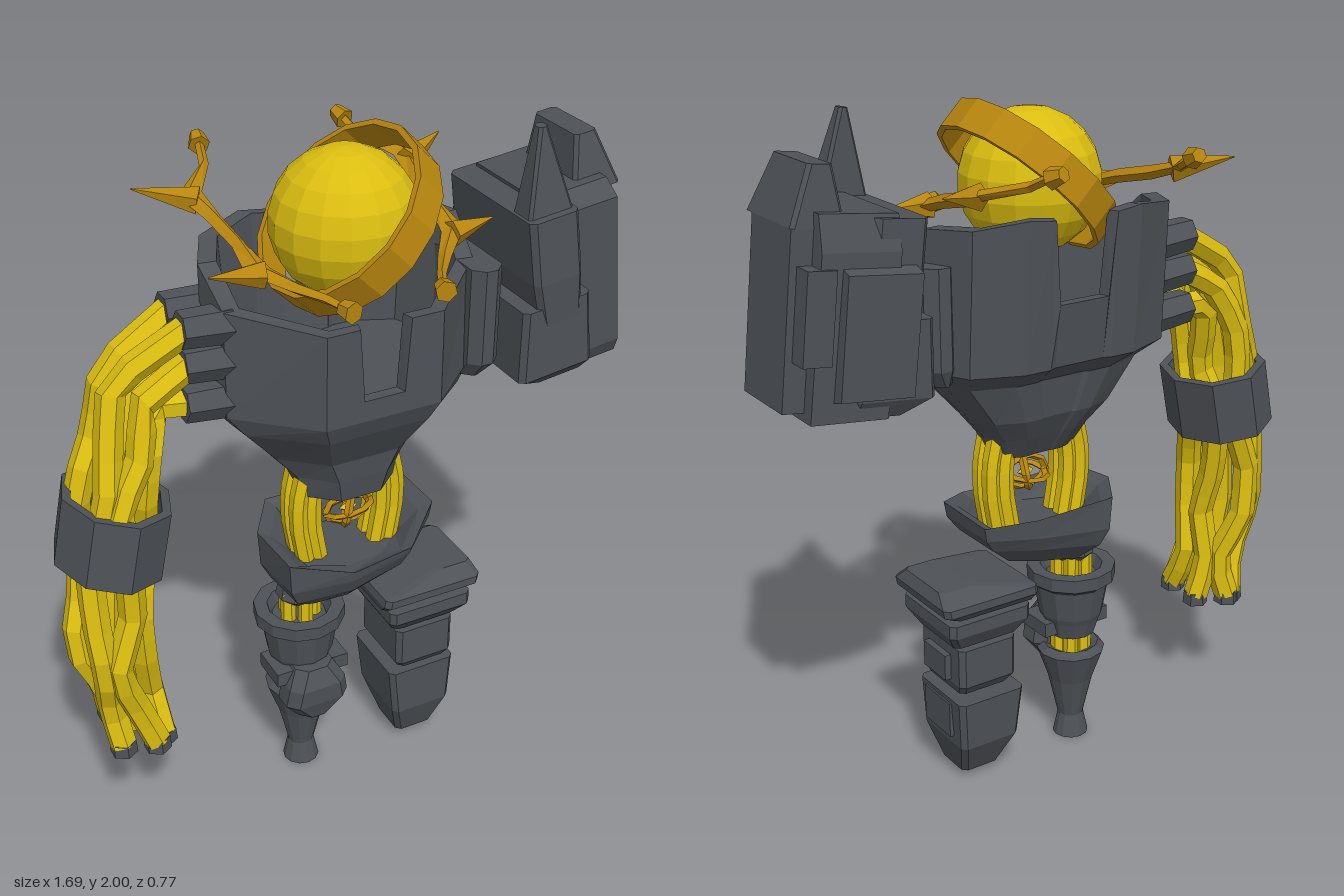
import * as THREE from 'three';

const V = (a) => new THREE.Vector3(...a);
const mat = (name, color) => {
  const m = new THREE.MeshStandardMaterial({ color, flatShading: true, side: THREE.DoubleSide });
  m.name = name;
  return m;
};

export function createModel() {
  const model = new THREE.Group();
  const iron = mat('dark iron', 0x4e5257);
  const yellow = mat('bright yellow', 0xdbbd10);
  const gold = mat('dark gold', 0xb8860e);

  const add = (name, geo, m, parent = model) => {
    const mesh = new THREE.Mesh(geo, m);
    mesh.name = name;
    parent.add(mesh);
    return mesh;
  };
  const group = (name, parent = model) => {
    const g = new THREE.Group();
    g.name = name;
    parent.add(g);
    return g;
  };

  // Skin over equal-length rings of points, capped at both ends
  const loft = (rings) => {
    const n = rings[0].length, idx = [], pos = rings.flat(2);
    for (let j = 0; j < rings.length - 1; j++) {
      for (let i = 0; i < n; i++) {
        const a = j * n + i, b = j * n + (i + 1) % n;
        idx.push(a, b, b + n, a, b + n, a + n);
      }
    }
    [0, rings.length - 1].forEach((j, top) => {
      const c = pos.length / 3;
      for (let k = 0; k < 3; k++) pos.push(rings[j].reduce((s, p) => s + p[k], 0) / n);
      for (let i = 0; i < n; i++) {
        const a = j * n + i, b = j * n + (i + 1) % n;
        idx.push(c, top ? a : b, top ? b : a);
      }
    });
    const g = new THREE.BufferGeometry();
    g.setAttribute('position', new THREE.Float32BufferAttribute(pos, 3));
    g.setIndex(idx);
    g.computeVertexNormals();
    return g;
  };

  // Chamfered block from levels [y, x0, x1, z0, z1]
  const block = (levels, c = 0.015) => loft(levels.map(([y, x0, x1, z0, z1]) => [
    [x0 + c, y, z1], [x1 - c, y, z1], [x1, y, z1 - c], [x1, y, z0 + c],
    [x1 - c, y, z0], [x0 + c, y, z0], [x0, y, z0 + c], [x0, y, z1 - c]]));

  // Straight rod between two points
  const beam = (a, b, r0, r1, sides = 6) => {
    const d = V(b).sub(V(a));
    const g = new THREE.CylinderGeometry(r1, r0, d.length(), sides);
    g.applyQuaternion(new THREE.Quaternion().setFromUnitVectors(V([0, 1, 0]), d.clone().normalize()));
    const m = V(a).addScaledVector(d, 0.5);
    return g.translate(m.x, m.y, m.z);
  };
  const tube = (pts, r, seg = 8, sides = 6) =>
    new THREE.TubeGeometry(new THREE.CatmullRomCurve3(pts.map(V), false, 'catmullrom', 0.15), seg, r, sides);
  const lathe = (pts, n = 12) => new THREE.LatheGeometry(pts.map((p) => new THREE.Vector2(...p)), n);
  // Plate with a z-y outline, spanning x0 to x1
  const plate = (pts, x0, x1) => new THREE.ExtrudeGeometry(
    new THREE.Shape(pts.map((p) => new THREE.Vector2(...p))), { depth: x1 - x0, bevelEnabled: false })
    .rotateY(-Math.PI / 2).translate(x1, 0, 0);

  // Head and the slanted band around it
  add('head', new THREE.SphereGeometry(0.2, 16, 11), yellow).position.set(0.003, 1.77, 0.07);
  const band = add('headBand', lathe([[0.262, -0.047], [0.28, -0.047], [0.28, 0.047], [0.262, 0.047], [0.262, -0.047]], 16), gold);
  band.position.set(0.005, 1.782, 0.08);
  band.rotation.z = Math.PI / 4;
  band.scale.x = 0.935;

  // Horned halo arms beside the head: x, y, z, half width, half height
  const armPath = [
    [0.215, 1.88, -0.36, 0.012, 0.012], [0.235, 1.84, -0.28, 0.014, 0.014], [0.32, 1.81, -0.18, 0.035, 0.015],
    [0.30, 1.78, -0.08, 0.022, 0.02], [0.285, 1.75, 0.05, 0.02, 0.02], [0.28, 1.72, 0.15, 0.035, 0.018],
    [0.21, 1.69, 0.23, 0.022, 0.015], [0.16, 1.68, 0.30, 0.014, 0.013], [0.135, 1.67, 0.35, 0.012, 0.012]];
  for (const s of [1, -1]) {
    const horn = group(s > 0 ? 'leftHaloArm' : 'rightHaloArm');
    add('haloArc', loft(armPath.map(([x, y, z, w, h]) =>
      [[x + w, y, z], [x, y + h, z], [x - w, y, z], [x, y - h, z]])), gold, horn);
    add('rearSpike', beam([0.31, 1.80, -0.15], [0.46, 1.83, -0.235], 0.038, 0.002, 5), gold, horn);
    add('frontSpike', beam([0.27, 1.715, 0.16], [0.41, 1.725, 0.14], 0.038, 0.002, 5), gold, horn);
    add('rearKnob', beam([0.22, 1.87, -0.345], [0.21, 1.885, -0.385], 0.03, 0.02), gold, horn);
    add('frontKnob', beam([0.14, 1.67, 0.335], [0.13, 1.67, 0.375], 0.022, 0.03), gold, horn);
    horn.scale.x = s;
  }

  // Hollow torso: x, z and rim height from front notch to back notch
  const half = [[0.06, 0.31, 1.37], [0.075, 0.31, 1.58], [0.17, 0.31, 1.58], [0.37, 0.12, 1.61],
    [0.385, 0, 1.70], [0.32, -0.14, 1.71], [0.18, -0.2, 1.73], [0.1, -0.2, 1.72], [0.08, -0.19, 1.49]];
  const outline = [...half, ...half.map(([x, z, y]) => [-x, z, y]).reverse()];
  const slice = (sx, y, sz = sx, zc = 0.055) =>
    outline.map(([x, z, rim]) => [x * sx, y ?? rim, zc + (z - 0.055) * sz]);
  add('torso', loft([slice(0.36, 0.99, 0.33, 0.1), slice(0.44, 1.06, 0.44, 0.085), slice(0.6, 1.13, 0.54, 0.07),
    slice(0.87, 1.25, 0.73, 0.095), slice(1, 1.31, 0.94, 0.068), slice(0.99), slice(0.86), slice(0.8, 1.35)]), iron);
  add('leftShoulderMount', block([[1.28, 0.32, 0.39, -0.06, 0.18], [1.33, 0.32, 0.415, -0.08, 0.22], [1.61, 0.32, 0.415, -0.08, 0.22]], 0.03), iron);

  // Waist cables and the small floating core
  for (const s of [1, -1]) {
    for (const [dx, dz] of [[-0.02, 0.045], [0.02, 0.05], [0.02, 0.1], [-0.02, 0.1]]) {
      const x = s * 0.132 + dx;
      add('waistCable', tube([[x - s * 0.02, 1.06, dz], [x, 0.97, dz], [x, 0.88, dz], [x - s * 0.02, 0.76, dz]], 0.028), yellow);
    }
  }
  const core = group('waistCore');
  core.position.set(0.003, 0.905, 0.1);
  for (const [rx, ry] of [[0, 0], [1.3, 0.2], [0.3, 1.1]]) {
    const ring = add('coreRing', new THREE.TorusGeometry(0.06, 0.011, 4, 10), gold, core);
    ring.rotation.set(rx, ry, 0);
  }
  core.scale.set(1.15, 0.78, 1);
  add('coreGem', new THREE.OctahedronGeometry(0.025), yellow, core);

  // Pelvis bowl
  const rim = [[-0.25, 0.85, 0.03], [-0.235, 0.84, 0.21], [-0.06, 0.80, 0.265], [0.13, 0.815, 0.25],
    [0.265, 0.86, 0.13], [0.265, 0.855, -0.09], [0.1, 0.85, -0.115], [-0.16, 0.855, -0.11]];
  const bowl = (s, y, slope) => rim.map(([x, h, z]) =>
    [-0.01 + (x + 0.01) * s, y === null ? h - (s < 1 ? 0.02 : 0) : y + slope * x, 0.07 + (z - 0.07) * s]);
  add('pelvis', loft([bowl(0.55, 0.665, 0.12), bowl(0.85, 0.725, 0.16), bowl(0.97, 0.775, 0.14), bowl(1, null), bowl(0.85, null), bowl(0.6, 0.77, 0)]), iron);

  // Right leg
  const leg = group('rightLeg');
  leg.position.set(-0.137, 0, 0.062);
  add('hipCup', lathe([[0, 0.67], [0.06, 0.67], [0.07, 0.63], [0.05, 0.61], [0, 0.61]], 10), iron, leg);
  for (let i = 0; i < 5; i++) {
    const a = i * Math.PI * 0.4, x = Math.sin(a) * 0.04, z = Math.cos(a) * 0.04;
    add('legCable', beam([x, 0.25, z], [x * 1.1, 0.65, z * 1.1], 0.024, 0.022), yellow, leg);
  }
  add('thigh', lathe([[0, 0.36], [0.075, 0.36], [0.09, 0.41], [0.098, 0.43], [0.115, 0.53], [0.135, 0.545],
    [0.135, 0.585], [0.095, 0.585], [0.08, 0.55], [0, 0.55]]), iron, leg);
  add('shin', lathe([[0, 0], [0.055, 0], [0.04, 0.07], [0.07, 0.2], [0.105, 0.3], [0.085, 0.32], [0, 0.27]]), iron, leg);
  add('kneeCap', block([[0.245, -0.05, 0.05, 0.03, 0.125], [0.31, -0.1, 0.1, 0.03, 0.145],
    [0.37, -0.09, 0.09, 0.03, 0.15], [0.425, -0.06, 0.06, 0.03, 0.125]], 0.03), iron, leg);
  add('kneeBar', new THREE.BoxGeometry(0.23, 0.045, 0.12), iron, leg).position.set(0, 0.395, 0.03);

  // Left leg made of separate floating armour blocks
  const left = group('leftLeg');
  add('hipPlate', block([[0.57, 0.07, 0.34, -0.05, 0.2], [0.595, 0.065, 0.38, -0.07, 0.23], [0.62, 0.07, 0.385, -0.07, 0.23], [0.655, 0.26, 0.37, -0.02, 0.19]]), iron, left);
  add('thighPlate', block([[0.47, 0.12, 0.33, -0.03, 0.18], [0.52, 0.09, 0.36, -0.06, 0.22], [0.56, 0.09, 0.36, -0.06, 0.22]]), iron, left);
  add('kneeBlock', block([[0.31, 0.15, 0.31, -0.02, 0.17], [0.34, 0.13, 0.32, -0.04, 0.19], [0.46, 0.13, 0.32, -0.04, 0.19]]), iron, left);
  add('kneeSidePlate', new THREE.BoxGeometry(0.06, 0.08, 0.12), iron, left).position.set(0.31, 0.39, 0.08);
  add('shinBlock', block([[0.025, 0.165, 0.29, 0.01, 0.14], [0.14, 0.13, 0.325, -0.05, 0.18], [0.295, 0.115, 0.335, -0.06, 0.18]]), iron, left);
  add('shinSidePlate', new THREE.BoxGeometry(0.06, 0.11, 0.14), iron, left).position.set(0.31, 0.225, 0.07);

  // Right arm: cables fanning out from sockets, through a cuff, to dark tips
  const arm = group('rightArm');
  const spine = [[-0.6, 1.4, 0.04, 0.06], [-0.64, 1.28, 0.05, 0.075], [-0.68, 1.14, 0.06, 0.085], [-0.69, 1.0, 0.06, 0.09],
    [-0.715, 0.8, 0.065, 0.085], [-0.725, 0.64, 0.07, 0.092], [-0.69, 0.48, 0.08, 0.068], [-0.675, 0.355, 0.08, 0.082]];
  const sockets = [[1.575, -0.03], [1.575, 0.09], [1.475, -0.03], [1.475, 0.09], [1.36, -0.03], [1.36, 0.09]];
  const angles = [3.9, 2.4, 4.8, 1.5, 5.8, 0.5];
  sockets.forEach(([y, z], i) => {
    add('shoulderSocket', beam([-0.34, y - 0.01, z], [-0.475, y, z], 0.055, 0.05, 6), iron, arm);
    const path = [[-0.45, y, z]];
    spine.forEach(([cx, cy, cz, r], k) => {
      const a = angles[i] + 0.35 * Math.sin(k * 2.1 + i);
      path.push([cx + Math.cos(a) * r, cy + (k === 0 ? (y - 1.46) * 0.5 : 0), cz + Math.sin(a) * r * 1.3]);
    });
    add('armCable', tube(path, 0.039, 16, 6), yellow, arm);
    const [x, ey, ez] = path[path.length - 1];
    add('cableTip', beam([x, ey + 0.015, ez], [x, ey - 0.025, ez], 0.037, 0.04, 6), iron, arm);
  });
  add('innerCable', tube([[-0.46, 1.5, 0.03], ...spine.map(([x, y, z]) => [x, y, z])], 0.042, 16, 6), yellow, arm);
  const cuff = add('armCuff', lathe([[0.125, -0.1], [0.15, -0.1], [0.15, 0.1], [0.125, 0.1], [0.125, -0.1]], 8), iron, arm);
  cuff.position.set(-0.685, 1.025, 0.06);
  cuff.rotation.z = -0.2;
  cuff.scale.z = 1.2;

  // Left shoulder shield, leaning inwards
  const shield = group('leftShoulderShield');
  shield.position.set(0.633, 1.55, 0);
  shield.rotation.z = 0.12;
  add('outerPlate', plate([[-0.08, -0.262], [0.14, -0.262], [0.14, 0.2], [-0.08, 0.2]], 0.1, 0.18), iron, shield);
  add('outerCrest', block([[0.2, 0.03, 0.18, -0.08, 0.18], [0.352, 0.067, 0.133, -0.06, 0.14]], 0.01), iron, shield);
  add('middlePlate', plate([[-0.12, -0.285], [0.23, -0.285], [0.25, -0.24], [0.25, 0.2], [0.2, 0.24], [-0.1, 0.24], [-0.13, 0.15]], -0.1, 0.12), iron, shield);
  add('rearPlate', plate([[-0.16, -0.22], [0, -0.26], [0, 0.2], [-0.1, 0.2], [-0.1, 0.12], [-0.16, 0.1]], -0.15, 0.06), iron, shield);
  add('innerBlock', block([[-0.285, -0.16, 0, -0.1, 0.25], [-0.235, -0.235, 0, -0.13, 0.3], [-0.025, -0.21, 0, -0.13, 0.3]]), iron, shield);
  add('innerPlate', block([[-0.08, -0.16, -0.03, -0.12, 0.3], [0.05, -0.18, -0.03, -0.12, 0.31], [0.23, -0.18, -0.03, -0.12, 0.3]]), iron, shield);
  add('fin', block([[0.2, -0.18, -0.03, 0.19, 0.28], [0.455, -0.105, -0.08, 0.2, 0.235]], 0.008), iron, shield);
  add('rearRib', new THREE.BoxGeometry(0.08, 0.24, 0.08), iron, shield).position.set(0.12, -0.01, -0.1);

  return model;
}
